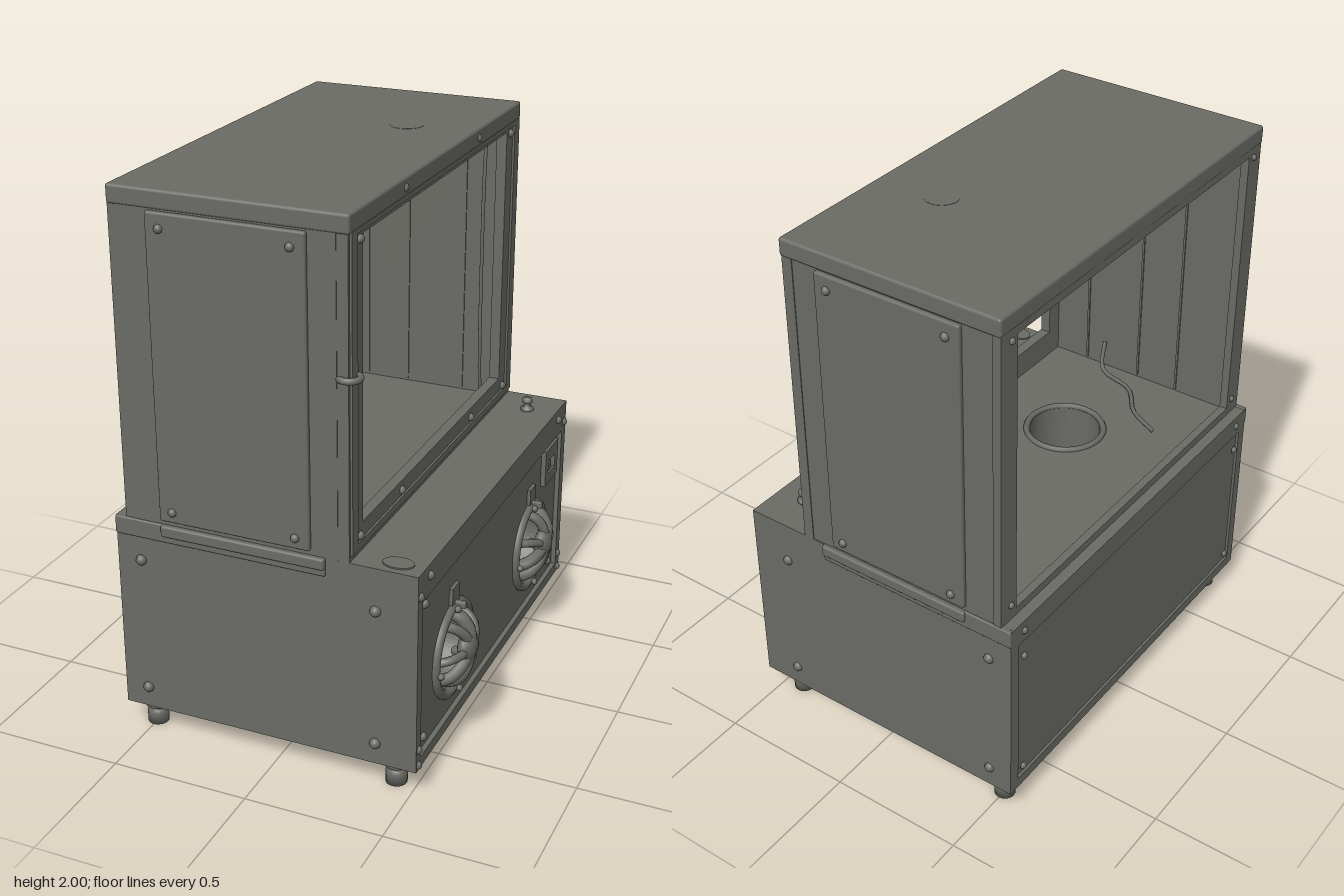
import * as THREE from 'three';
import { RoundedBoxGeometry } from 'three/addons/geometries/RoundedBoxGeometry.js';

const metal = new THREE.MeshStandardMaterial({ color: 0x6a6b65 });
metal.name = 'grey metal';

export function createModel() {
  const model = new THREE.Group();
  model.name = 'cabinet';

  const add = (name, geometry, parent = model) => {
    const m = new THREE.Mesh(geometry, metal);
    m.name = name;
    parent.add(m);
    return m;
  };
  // box given by its limits
  const box = (name, x0, x1, y0, y1, z0, z1, r = 0) => {
    const s = [x1 - x0, y1 - y0, z1 - z0];
    const g = r ? new RoundedBoxGeometry(...s, 2, r) : new THREE.BoxGeometry(...s);
    g.translate((x0 + x1) / 2, (y0 + y1) / 2, (z0 + z1) / 2);
    return add(name, g);
  };
  const rect = (S, u0, u1, v0, v1) => {
    const s = new S();
    s.moveTo(u0, v0); s.lineTo(u1, v0); s.lineTo(u1, v1); s.lineTo(u0, v1); s.closePath();
    return s;
  };
  const circle = (u, v, r) => {
    const p = new THREE.Path();
    p.absarc(u, v, r, 0, Math.PI * 2, true);
    return p;
  };
  const flip = ([z0, z1, y0, y1]) => [-z1, -z0, y0, y1];
  // plate in the zy plane with holes, outer = [z0, z1, y0, y1]
  const plate = (name, x0, x1, outer, holes) => {
    const s = rect(THREE.Shape, ...flip(outer));
    s.holes.push(...holes);
    const g = new THREE.ExtrudeGeometry(s, { depth: x1 - x0, bevelEnabled: false, curveSegments: 32 });
    return add(name, g.rotateY(Math.PI / 2).translate(x0, 0, 0));
  };
  const frame = (name, x0, x1, outer, inner) =>
    plate(name, x0, x1, outer, [rect(THREE.Path, ...flip(inner))]);
  // horizontal plate with the round well cut through it
  const wellPlate = (name, x0, x1, y0, y1) => {
    const s = rect(THREE.Shape, x0, x1, -0.77, 0.775);
    s.holes.push(circle(-0.09, -0.27, 0.13));
    const g = new THREE.ExtrudeGeometry(s, { depth: y1 - y0, bevelEnabled: false, curveSegments: 32 });
    return add(name, g.rotateX(-Math.PI / 2).translate(0, y0, 0));
  };
  // domed screw head pointing along an axis direction
  const screw = (x, y, z, dir, r = 0.016) => {
    const m = add('screw', new THREE.SphereGeometry(r, 10, 5, 0, Math.PI * 2, 0, Math.PI / 2));
    m.quaternion.setFromUnitVectors(new THREE.Vector3(0, 1, 0), new THREE.Vector3(...dir));
    m.position.set(x, y, z);
  };
  const tube = (name, pts, r, parent, seg = 16) => add(name, new THREE.TubeGeometry(
    new THREE.CatmullRomCurve3(pts.map(p => new THREE.Vector3(...p))), seg, r, 8), parent);

  // base with a round well in its top
  box('baseBody', -0.57, 0.4, 0.1, 0.62, -0.775, 0.77);
  wellPlate('baseUpper', -0.57, 0.4, 0.62, 0.76);
  wellPlate('baseTop', -0.58, 0.523, 0.76, 0.84);
  const rim = add('wellRim', new THREE.TorusGeometry(0.143, 0.012, 6, 36));
  rim.rotation.x = Math.PI / 2;
  rim.position.set(-0.09, 0.841, 0.27);

  // control panel with two ports, borders around it and the back panel
  plate('controlPanel', 0.4, 0.505, [-0.775, 0.77, 0.1, 0.76],
    [circle(-0.41, 0.38, 0.152), circle(0.41, 0.38, 0.152)]);
  frame('controlBorder', 0.505, 0.523, [-0.775, 0.77, 0.1, 0.76], [-0.73, 0.73, 0.14, 0.73]);
  frame('backBorder', -0.58, -0.57, [-0.775, 0.77, 0.1, 0.76], [-0.73, 0.73, 0.14, 0.755]);

  // feet
  const footProfile = [[0, 0], [0.038, 0], [0.038, 0.045], [0.026, 0.05], [0.026, 0.06], [0.042, 0.068], [0.04, 0.1], [0, 0.1]]
    .map(p => new THREE.Vector2(...p));
  for (const x of [-0.5, 0.425]) for (const z of [-0.695, 0.7]) {
    add('foot', new THREE.LatheGeometry(footProfile, 16)).position.set(x, 0, z);
  }

  // open chamber
  frame('controlSideFrame', 0.245, 0.284, [-0.775, 0.77, 0.84, 1.95], [-0.65, 0.66, 0.94, 1.91]);
  frame('controlSideTrim', 0.284, 0.292, [-0.765, 0.76, 0.86, 1.94], [-0.715, 0.715, 0.885, 1.925]);
  frame('backFrame', -0.54, -0.51, [-0.775, 0.77, 0.84, 1.95], [-0.69, 0.69, 0.87, 1.91]);
  box('roof', -0.543, 0.29, 1.935, 2, -0.78, 0.775, 0.01);
  const cap = add('roofCap', new THREE.CylinderGeometry(0.06, 0.06, 0.004, 28));
  cap.position.set(0.04, 1.999, -0.28);

  for (const s of [-1, 1]) {
    // side walls, raised doors and the rail below them
    const side = (name, x0, x1, y0, y1, a, b, r) =>
      box(name, x0, x1, y0, y1, Math.min(s * a, s * b), Math.max(s * a, s * b), r);
    side('sideWall', -0.51, 0.245, 0.84, 1.94, 0.725, 0.772);
    for (const x of [-0.3, -0.13, 0.1]) side('innerSeam', x, x + 0.008, 0.85, 1.93, 0.72, 0.725);
    side('door', -0.4, 0.15, 0.86, 1.932, 0.765, 0.788, 0.008);
    side('rail', -0.58, 0.2, 0.775, 0.842, 0.76, 0.78, 0.006);
    side('railLip', -0.4, 0.2, 0.8, 0.842, 0.77, 0.79, 0.008);
    for (const x of [-0.35, 0.1]) for (const y of [0.9, 1.88]) screw(x, y, s * 0.786, [0, 0, s]);
    for (const x of [-0.49, 0.375]) for (const y of [0.18, 0.685]) screw(x, y, s * 0.77, [0, 0, s], 0.02);
    for (const y of [0.18, 0.69]) screw(0.505, y, s * 0.67, [1, 0, 0]);
    for (const y of [0.12, 0.18, 0.76]) screw(0.52, y, s * 0.75, [1, 0, 0]);
    for (const y of [0.9, 1.9]) {
      screw(0.284, y, s * 0.685, [1, 0, 0]);
      screw(-0.54, y, s * 0.72, [-1, 0, 0], 0.012);
    }
    for (const y of [0.18, 0.69, 0.8]) screw(-0.578, y, s * 0.7, [-1, 0, 0], 0.014);
    for (const y of [0.905, 1.965]) screw(0.284, y, s * 0.335, [1, 0, 0]);
    screw(0.523, 0.8, s * 0.67, [1, 0, 0]);
  }

  // ports with a bulging glove whose fingers curl back into the opening
  for (const [z, turn] of [[0.41, 0.5], [-0.41, 0.1]]) {
    const port = new THREE.Group();
    port.name = 'port';
    port.position.set(0.505, 0.38, z);
    port.rotation.y = Math.PI / 2;
    model.add(port);
    const ring = add('portRing', new THREE.TorusGeometry(0.164, 0.018, 8, 40), port);
    ring.position.z = 0.005;
    const palm = add('glovePalm', new THREE.SphereGeometry(0.06, 16, 10), port);
    palm.scale.z = 0.55;
    palm.position.set(0, 0.02, 0.06);
    for (let i = 0; i < 8; i++) {
      const a = turn + i / 8 * Math.PI * 2 + 0.15 * Math.sin(i * 2.3);
      const at = (r, t, h) => [r * Math.cos(a + t), 0.01 + r * Math.sin(a + t), h];
      tube('gloveFinger', [at(0.02, 0, 0.065), at(0.07, 0.05, 0.06), at(0.115, 0.15, 0.03), at(0.14, 0.25, -0.03)],
        0.02 + 0.005 * Math.sin(i * 1.7), port, 10);
    }
    for (let i = 0; i < 4; i++) {
      const a = i * Math.PI / 2 + 0.1;
      add('portBolt', new THREE.SphereGeometry(0.013, 8, 6), port)
        .position.set(0.166 * Math.cos(a), 0.166 * Math.sin(a), 0.027);
    }
    box('hookPlate', 0.505, 0.518, 0.562, 0.625, z - 0.032, z + 0.032);
    box('hook', 0.515, 0.555, 0.545, 0.57, z - 0.01, z + 0.01, 0.004);
  }

  // power socket
  frame('socketPlate', 0.505, 0.523, [-0.69, -0.54, 0.57, 0.715], [-0.655, -0.575, 0.61, 0.665]);
  box('socketPin', 0.505, 0.515, 0.61, 0.64, -0.635, -0.595);

  // latch on the chamber edge
  const latch = add('latch', new THREE.TorusGeometry(0.034, 0.012, 8, 24));
  latch.rotation.x = Math.PI / 2;
  latch.position.set(0.275, 1.47, 0.742);

  // knob and oval cap on the base ledge
  const knob = [[0, 0], [0.025, 0], [0.025, 0.012], [0.012, 0.016], [0.012, 0.03], [0.02, 0.034], [0.018, 0.05], [0, 0.054]];
  add('knob', new THREE.LatheGeometry(knob.map(p => new THREE.Vector2(...p)), 14)).position.set(0.41, 0.838, -0.63);
  const oval = add('ovalCap', new THREE.CylinderGeometry(0.054, 0.054, 0.008, 28));
  oval.scale.z = 0.68;
  oval.position.set(0.43, 0.841, 0.71);

  // cables inside the chamber
  tube('floorCable', [[0.02, 0.95, 0.715], [0, 0.86, 0.67], [-0.15, 0.848, 0.62], [-0.25, 0.848, 0.5], [-0.38, 0.848, 0.43]], 0.008);
  tube('wallCable', [[0.21, 1.93, -0.64], [0.21, 1.7, -0.625], [0.21, 1.15, -0.625], [0.21, 0.95, -0.635], [0.21, 0.845, -0.65]], 0.007);

  return model;
}
